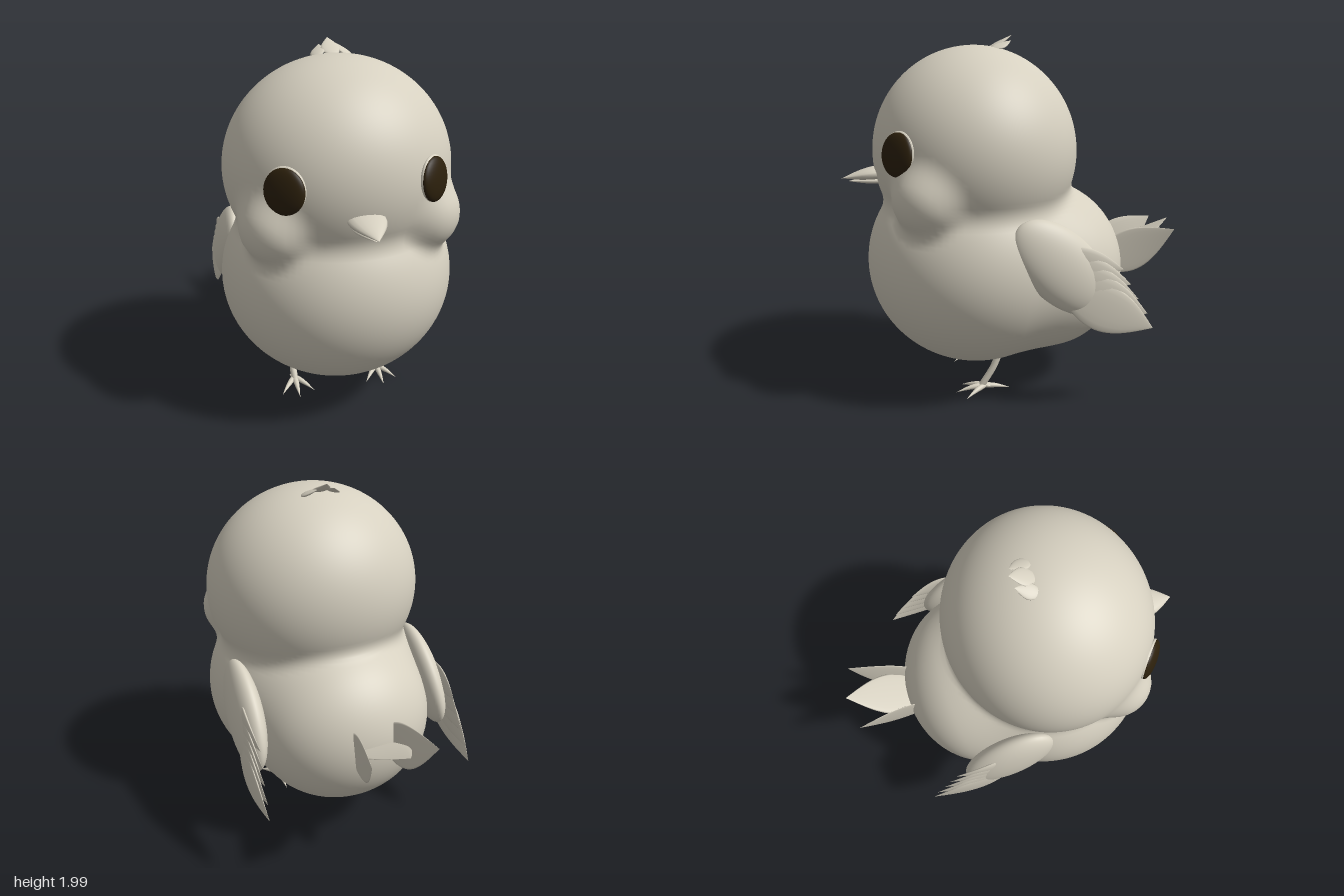
import * as THREE from 'three';

const V = (x, y, z) => new THREE.Vector3(x, y, z);

// Soft masses of the torso: [centre, radii, blend width]
const MASSES = [
  [V(0, 0.74, 0.22), V(0.645, 0.6, 0.625), 0],
  [V(0, 0.675, -0.17), V(0.53, 0.49, 0.465), 0.1],
  [V(0, 1.36, 0.225), V(0.615, 0.585, 0.573), 0.06],
  [V(0.385, 1.165, 0.52), V(0.195, 0.2, 0.2), 0.07],
  [V(-0.385, 1.165, 0.52), V(0.195, 0.2, 0.2), 0.07],
];

// Smoothly blended distance to the masses
function field(p) {
  let d = Infinity;
  for (const [c, r, k] of MASSES) {
    const e = (p.clone().sub(c).divide(r).length() - 1) * Math.min(r.x, r.y, r.z);
    if (d === Infinity) { d = e; continue; }
    const h = Math.max(k - Math.abs(d - e), 0) / k;
    d = Math.min(d, e) - h * h * k * 0.25;
  }
  return d;
}

// Head and body in one skin: each sphere vertex is pushed out to the blended surface
function skinGeometry() {
  const geo = new THREE.SphereGeometry(1, 112, 88);
  const pos = geo.attributes.position, nor = geo.attributes.normal;
  const origin = V(0, 1.03, 0.18), e = 0.004;
  for (let i = 0; i < pos.count; i++) {
    const dir = new THREE.Vector3().fromBufferAttribute(pos, i).normalize();
    let lo = 0, hi = 1.5;
    for (let j = 0; j < 24; j++) {
      const mid = (lo + hi) / 2;
      if (field(origin.clone().addScaledVector(dir, mid)) < 0) lo = mid; else hi = mid;
    }
    const p = origin.clone().addScaledVector(dir, lo);
    const slope = (x, y, z) => field(p.clone().add(V(x, y, z))) - field(p.clone().sub(V(x, y, z)));
    const n = V(slope(e, 0, 0), slope(0, e, 0), slope(0, 0, e)).normalize();
    pos.setXYZ(i, p.x, p.y, p.z);
    nor.setXYZ(i, n.x, n.y, n.z);
  }
  return geo;
}

// Pointed leaf along +z: half width w, half thickness t, widest point set by skew, bowed by bend
function petalGeometry(length, w, t, skew = 0.7, bend = 0) {
  const rings = 20, sides = 16, pts = [], index = [];
  for (let i = 0; i <= rings; i++) {
    const u = i / rings, f = Math.max(Math.sin(Math.PI * u ** skew), 0.002);
    for (let j = 0; j < sides; j++) {
      const a = (j / sides) * Math.PI * 2;
      pts.push(Math.cos(a) * w * f, Math.sin(a) * t * f + bend * Math.sin(Math.PI * u), u * length);
      if (i === rings) continue;
      const b = i * sides + j, c = i * sides + ((j + 1) % sides);
      index.push(b, c, c + sides, b, c + sides, b + sides);
    }
  }
  const geo = new THREE.BufferGeometry();
  geo.setAttribute('position', new THREE.Float32BufferAttribute(pts, 3));
  geo.setIndex(index);
  geo.computeVertexNormals();
  return geo;
}

// Turn a mesh so its z axis follows dir and its y axis leans to normal
function orient(mesh, at, dir, normal) {
  const z = dir.clone().normalize();
  const x = normal.clone().cross(z).normalize();
  const y = z.clone().cross(x);
  mesh.quaternion.setFromRotationMatrix(new THREE.Matrix4().makeBasis(x, y, z));
  mesh.position.copy(at);
  return mesh;
}

export function createModel() {
  const model = new THREE.Group();
  model.name = 'chick';
  const cream = new THREE.MeshStandardMaterial({ color: 0xd6d0c0 });
  cream.name = 'cream';
  const dark = new THREE.MeshStandardMaterial({ color: 0x2c200c });
  dark.name = 'dark brown';

  const add = (parent, name, geo, mat = cream) => {
    const mesh = new THREE.Mesh(geo, mat);
    mesh.name = name;
    parent.add(mesh);
    return mesh;
  };
  const petal = (parent, name, from, to, normal, w, t, skew, bend) => {
    const dir = to.clone().sub(from);
    return orient(add(parent, name, petalGeometry(dir.length(), w, t, skew, bend)), from, dir, normal);
  };
  const group = (name) => {
    const g = new THREE.Group();
    g.name = name;
    model.add(g);
    return g;
  };
  const up = V(0, 1, 0);

  add(model, 'headAndBody', skinGeometry());

  // Beak
  const beak = group('beak');
  petal(beak, 'upperBeak', V(0, 1.265, 0.6), V(0, 1.225, 0.97), up, 0.098, 0.036, 0.9, 0.006);
  petal(beak, 'lowerBeak', V(0, 1.225, 0.62), V(0, 1.208, 0.935), up, 0.075, 0.02, 0.9, -0.004);

  // Crest on the crown
  const crest = group('crest');
  petal(crest, 'crestMiddle', V(0, 1.925, 0.15), V(0, 2.0, 0.01), V(0, 1, 0.4), 0.052, 0.012, 0.8, -0.006);

  // Tail
  const tail = group('tail');
  petal(tail, 'tailMiddle', V(0, 0.69, -0.5), V(0, 0.91, -0.975), up, 0.13, 0.007, 0.8, -0.015);

  for (const s of [1, -1]) {
    const side = s > 0 ? 'left' : 'right';
    const out = V(s, 0, 0);

    petal(crest, side + 'Crest', V(s * 0.09, 1.92, 0.145), V(s * 0.05, 1.968, 0.025),
      V(s * 0.4, 1, 0.3), 0.04, 0.01, 0.8, -0.004);
    petal(tail, side + 'TailFeather', V(s * 0.1, 0.655, -0.5), V(s * 0.19, 0.88, -0.935),
      out, 0.13, 0.007, 0.8, -0.012);

    // Eye with a pale rim behind it
    const eye = group(side + 'Eye');
    const look = V(s * 0.62, 0.13, 0.77);
    const rim = orient(add(eye, 'eyeRim', new THREE.SphereGeometry(1, 40, 20)), V(s * 0.372, 1.398, 0.675), look, up);
    rim.scale.set(0.113, 0.118, 0.03);
    const ball = orient(add(eye, 'eyeball', new THREE.SphereGeometry(1, 40, 20), dark), V(s * 0.376, 1.396, 0.683), look, up);
    ball.scale.set(0.11, 0.114, 0.036);

    // Wing: shoulder pad and a fan of layered feathers
    const wing = group(side + 'Wing');
    const pad = orient(add(wing, 'shoulder', new THREE.SphereGeometry(1, 48, 32)),
      V(s * 0.567, 0.805, -0.135), V(s * 0.02, -0.45, -0.46), V(s, 0.08, -0.1));
    pad.scale.set(0.185, 0.085, 0.325);
    for (let i = 0; i < 5; i++) {
      const tip = V(s * (0.618 - i * 0.006), 0.452 + i * 0.083, -0.632 + i * 0.042 + (i === 1 ? -0.01 : 0));
      const root = V(s * (0.602 - i * 0.008), 0.71 + i * 0.045, -0.1 + i * 0.012);
      petal(wing, 'wingFeather' + (i + 1), root, tip, out, 0.125 - i * 0.012, 0.014, 0.9, 0.025);
    }

    // Leg and toes
    const leg = group(side + 'Leg');
    const shin = new THREE.CatmullRomCurve3([V(s * 0.26, 0.26, 0.13), V(s * 0.262, 0.15, 0.175), V(s * 0.255, 0.035, 0.245)]);
    add(leg, 'shin', new THREE.TubeGeometry(shin, 16, 0.019, 14));
    const toes = [[0, 0.39], [0.095, 0.345], [-0.095, 0.345], [0, 0.08]];
    for (const [dx, z] of toes) {
      const heel = V(s * 0.255 - dx * 0.25, 0.036, 0.235 + (z < 0.2 ? 0.05 : -0.04));
      petal(leg, 'toe', heel, V(s * 0.255 + dx, 0.008, z), up, 0.016, 0.015, 0.65, 0.01);
    }
  }
  return model;
}
